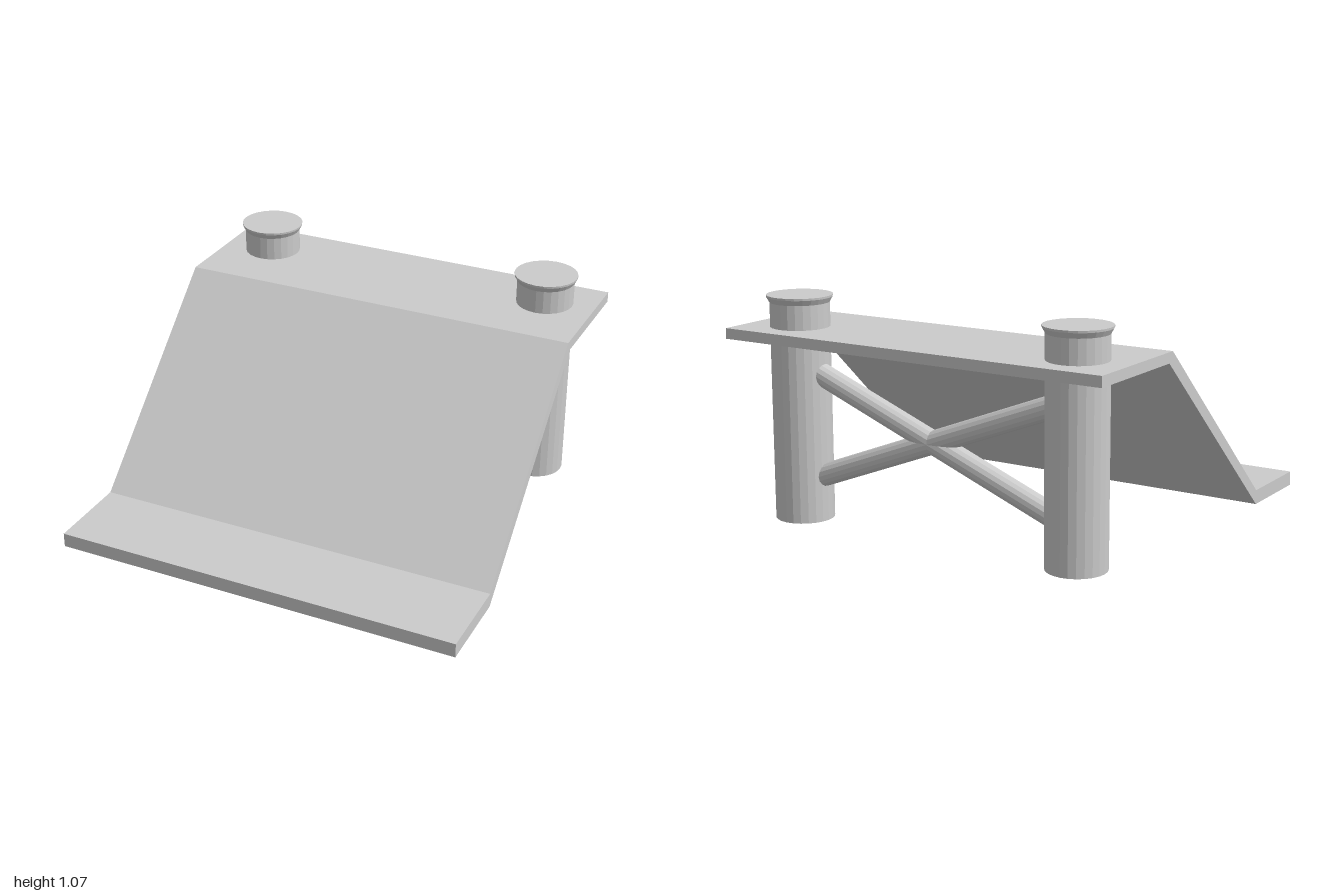
import * as THREE from 'three';

const material = new THREE.MeshStandardMaterial({ color: 0xcccccc, flatShading: true, side: THREE.DoubleSide });
const PILLAR_X = 0.75, PILLAR_Z = -0.735;

// Bent slab: low front step, sloping ramp and raised back platform
function createDeck() {
  const profile = [
    [0.97, 0.01], [0.97, 0.08], [0.56, 0.08], [-0.355, 0.92],
    [-0.97, 0.92], [-0.97, 0.87], [-0.385, 0.87], [0.56, 0.01],
  ].map(([z, y]) => new THREE.Vector2(-z, y));
  const geometry = new THREE.ExtrudeGeometry(new THREE.Shape(profile), { depth: 2, bevelEnabled: false });
  geometry.translate(0, 0, -1).rotateY(Math.PI / 2);
  const deck = new THREE.Mesh(geometry, material);
  deck.name = 'rampDeck';
  return deck;
}

// Hollow post, open below, with a flared and closed cap
function createPillar(side) {
  const profile = [[0.14, 0], [0.14, 1.035], [0.154, 1.06], [0.155, 1.07], [0, 1.07]]
    .map(([r, y]) => new THREE.Vector2(r, y));
  const pillar = new THREE.Mesh(new THREE.LatheGeometry(profile, 24), material);
  pillar.position.set(side * PILLAR_X, 0, PILLAR_Z);
  pillar.name = side > 0 ? 'leftPillar' : 'rightPillar';
  return pillar;
}

// Diagonal rod from high on one pillar to low on the other
function createBrace(side) {
  const high = new THREE.Vector3(side * 0.7, 0.73, PILLAR_Z);
  const low = new THREE.Vector3(-side * 0.7, 0.19, PILLAR_Z);
  const direction = high.clone().sub(low);
  const brace = new THREE.Mesh(new THREE.CylinderGeometry(0.053, 0.053, direction.length(), 16), material);
  brace.position.copy(high).add(low).multiplyScalar(0.5);
  brace.quaternion.setFromUnitVectors(new THREE.Vector3(0, 1, 0), direction.normalize());
  brace.name = side > 0 ? 'leftHighBrace' : 'rightHighBrace';
  return brace;
}

export function createModel() {
  const model = new THREE.Group();
  model.name = 'ramp';
  model.add(createDeck());
  for (const side of [-1, 1]) model.add(createPillar(side), createBrace(side));
  return model;
}
